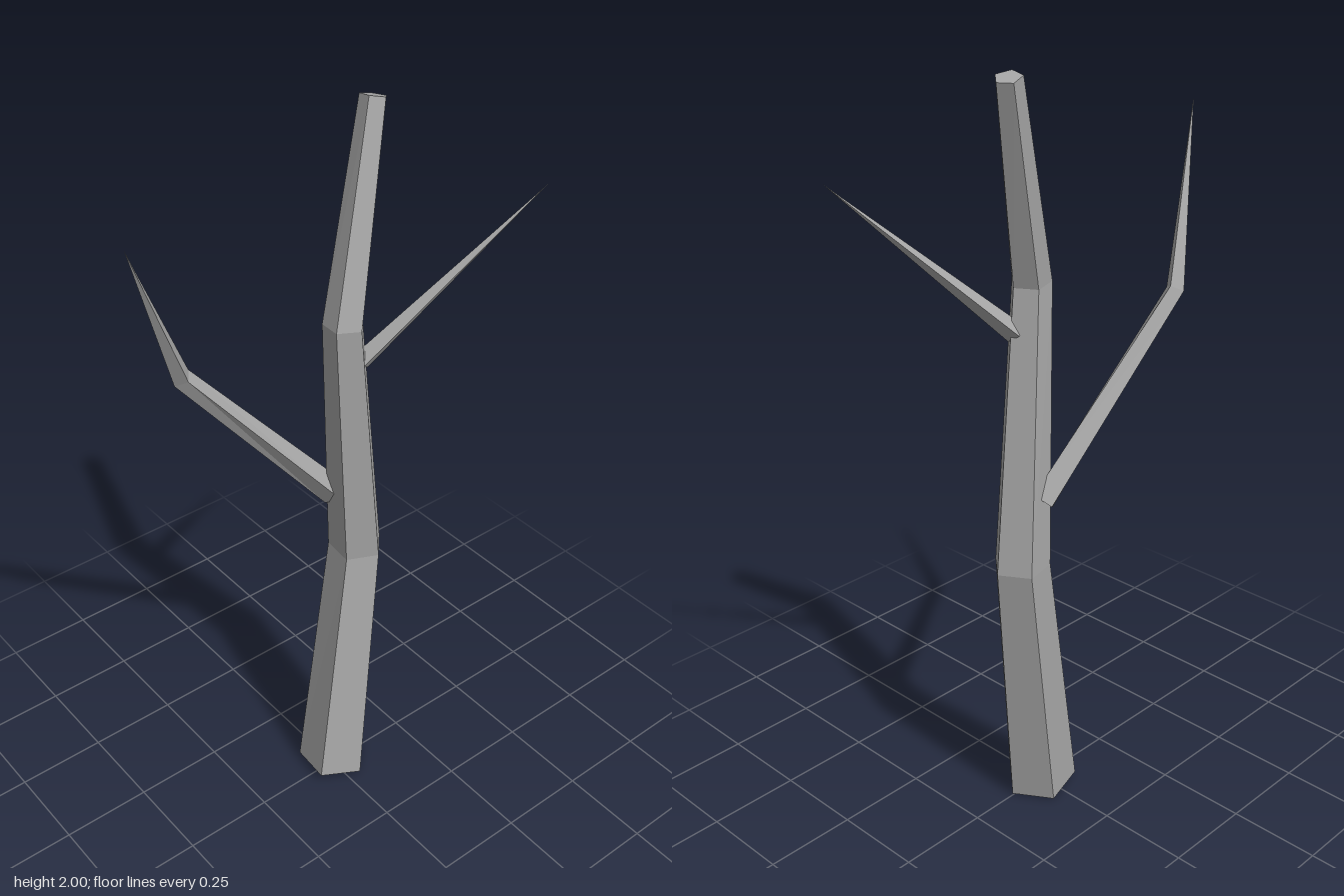
import * as THREE from 'three';

// Faceted limb swept through rings of [x, y, z, radius]; radius 0 makes a point.
// ref sets the direction of the first corner, phase turns the rings.
function limb(name, rings, sides, ref, phase, material) {
  const centres = rings.map(([x, y, z]) => new THREE.Vector3(x, y, z));
  const last = rings.length - 1;
  const loops = rings.map(([, , , r], j) => {
    const t = new THREE.Vector3();
    if (j > 0) t.add(centres[j].clone().sub(centres[j - 1]).normalize());
    if (j < last) t.add(centres[j + 1].clone().sub(centres[j]).normalize());
    t.normalize();
    const u = ref.clone().addScaledVector(t, -ref.dot(t)).normalize();
    const v = t.clone().cross(u);
    return Array.from({ length: sides }, (_, i) => {
      const a = phase + (i / sides) * Math.PI * 2;
      return centres[j].clone()
        .addScaledVector(u, Math.cos(a) * r)
        .addScaledVector(v, Math.sin(a) * r);
    });
  });

  const points = [];
  for (let i = 0; i < sides; i++) {
    const k = (i + 1) % sides;
    for (let j = 0; j < last; j++) {
      const [a, b, c, d] = [loops[j][i], loops[j][k], loops[j + 1][k], loops[j + 1][i]];
      points.push(a, b, c);
      if (rings[j + 1][3] > 0) points.push(a, c, d);
    }
    // End caps
    points.push(centres[0], loops[0][k], loops[0][i]);
    if (rings[last][3] > 0) points.push(centres[last], loops[last][i], loops[last][k]);
  }
  const geometry = new THREE.BufferGeometry().setFromPoints(points);
  geometry.computeVertexNormals();
  const mesh = new THREE.Mesh(geometry, material);
  mesh.name = name;
  return mesh;
}

export function createModel() {
  const group = new THREE.Group();
  group.name = 'bareTree';
  const bark = new THREE.MeshStandardMaterial({ color: 0xa6a6a6, flatShading: true });
  bark.name = 'greyBark';
  const xAxis = new THREE.Vector3(1, 0, 0);
  const yAxis = new THREE.Vector3(0, 1, 0);

  // Crooked five-sided trunk with a cut top
  group.add(limb('trunk', [
    [0.01, 0.014, -0.006, 0.1],
    [0.117, 0.748, -0.041, 0.076],
    [0.041, 1.478, -0.006, 0.053],
    [0.183, 1.989, -0.079, 0.034],
  ], 5, xAxis, -0.1, bark));

  // Long bent branch on the right, growing from the back of the trunk
  group.add(limb('bentBranch', [
    [0.07, 0.925, -0.076, 0.038],
    [-0.33, 1.405, -0.154, 0.026],
    [-0.515, 1.845, -0.043, 0],
  ], 4, yAxis, 0, bark));

  // Short straight branch on the left
  group.add(limb('straightBranch', [
    [0.09, 1.36, -0.002, 0.027],
    [0.505, 1.77, 0.175, 0],
  ], 4, yAxis, 0, bark));

  return group;
}
